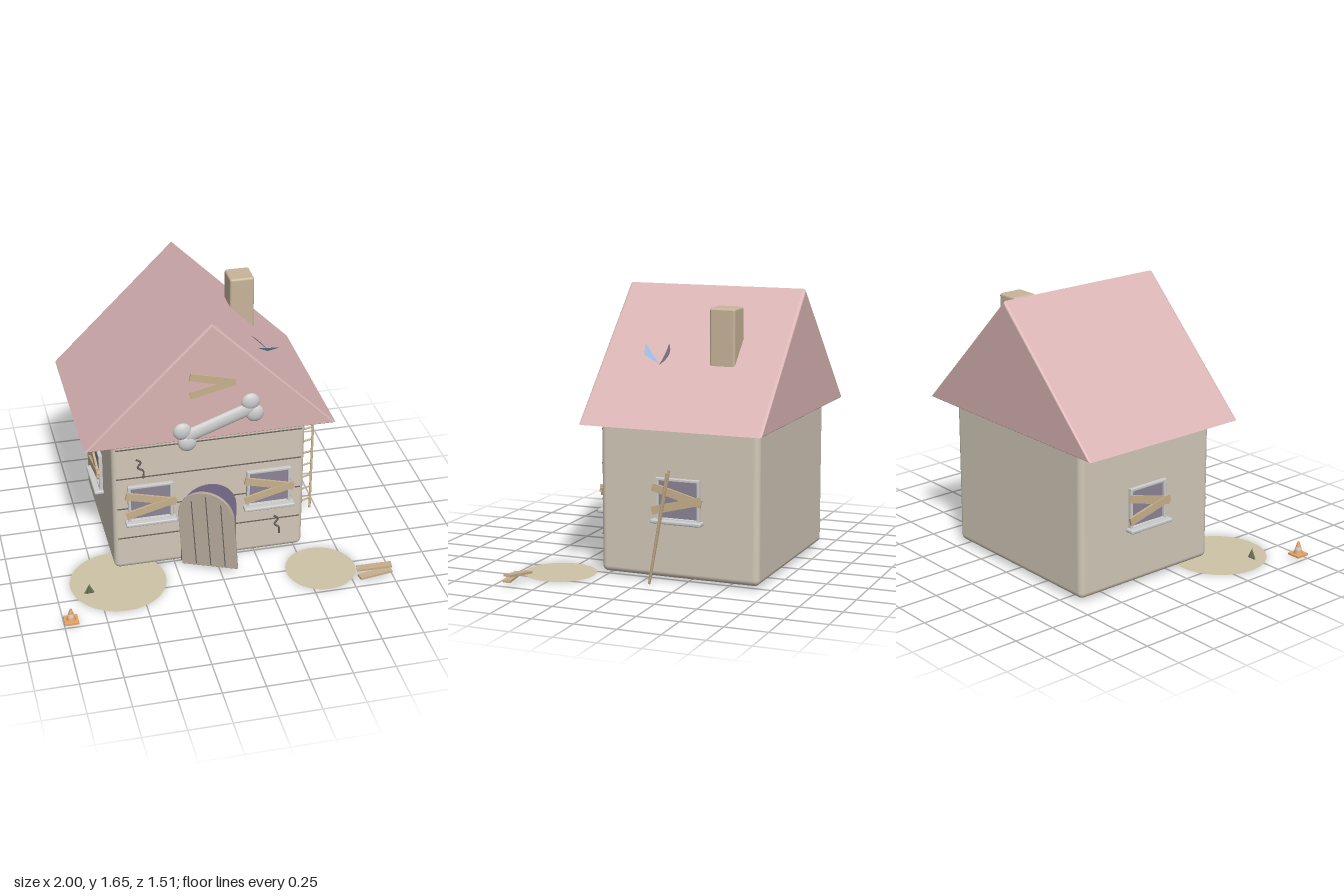
import * as THREE from 'three';
import { RoundedBoxGeometry } from 'three/addons/geometries/RoundedBoxGeometry.js';

const mat = (color, extra = {}) => new THREE.MeshStandardMaterial({ color, ...extra });
const WALL = mat(0xd2c8b8), ROOF = mat(0xdab4b4), WOOD = mat(0xc8b08c), GREY = mat(0xcccccc);
const GLASS = mat(0x8c8596), DARK = mat(0x6a645f), DOORWAY = mat(0x776c8a), DOOR = mat(0xb8aa9c);
const CHIMNEY = mat(0xc8b49a), ORANGE = mat(0xe8a468), SAND = mat(0xcdc3a6, { side: THREE.DoubleSide });
const BLUE = mat(0x9cc0e8, { side: THREE.DoubleSide }), HOLE = mat(0x6e6470, { side: THREE.DoubleSide });
const GRASS = mat(0x76805f, { side: THREE.DoubleSide });
const CX = -0.037; // centre line of the house

function add(parent, name, geo, material, x = 0, y = 0, z = 0) {
  const m = new THREE.Mesh(geo, material);
  m.name = name;
  m.position.set(x, y, z);
  parent.add(m);
  return m;
}

function group(parent, name, x = 0, y = 0, z = 0) {
  const g = new THREE.Group();
  g.name = name;
  g.position.set(x, y, z);
  parent.add(g);
  return g;
}

// box laid from a to b in a plane facing +z
function plank(parent, name, x1, y1, x2, y2, w, d, z, material = WOOD) {
  const len = Math.hypot(x2 - x1, y2 - y1);
  const m = add(parent, name, new THREE.BoxGeometry(len, w, d), material, (x1 + x2) / 2, (y1 + y2) / 2, z);
  m.rotation.z = Math.atan2(y2 - y1, x2 - x1);
  return m;
}

// round bar between two points
function bar(parent, name, a, b, r, material) {
  const d = b.clone().sub(a);
  const m = add(parent, name, new THREE.CylinderGeometry(r, r, d.length(), 8), material);
  m.position.copy(a).addScaledVector(d, 0.5);
  m.quaternion.setFromUnitVectors(new THREE.Vector3(0, 1, 0), d.normalize());
  return m;
}

function rectShape(w, h, Type = THREE.Shape) {
  return new Type([[-w, -h], [w, -h], [w, h], [-w, h]].map(([x, y]) => new THREE.Vector2(x / 2, y / 2)));
}

// arch standing on y = 0, starting at x = 0
function archShape(w, h) {
  const s = new THREE.Shape(), r = w / 2;
  s.moveTo(0, 0).lineTo(w, 0).lineTo(w, h - r);
  s.absarc(r, h - r, r, 0, Math.PI, false);
  s.lineTo(0, 0);
  return s;
}

// boarded window, facing +z before turning
function boardedWindow(parent, x, z, turn) {
  const g = group(parent, 'window', x, 0.485, z);
  g.rotation.y = turn;
  const frame = rectShape(0.27, 0.25);
  frame.holes.push(rectShape(0.235, 0.215, THREE.Path));
  add(g, 'windowFrame', new THREE.ExtrudeGeometry(frame, {
    depth: 0.018, bevelThickness: 0.004, bevelSize: 0.004, bevelOffset: -0.004, bevelSegments: 2,
  }), GREY);
  add(g, 'windowPane', new THREE.BoxGeometry(0.24, 0.22, 0.01), GLASS);
  add(g, 'windowSill', new RoundedBoxGeometry(0.31, 0.023, 0.06, 2, 0.008), GREY, 0, -0.125, 0.027);
  plank(g, 'windowPlank', -0.15, 0.072, 0.15, -0.008, 0.046, 0.014, 0.028);
  plank(g, 'windowPlank', -0.15, -0.066, 0.15, 0.012, 0.046, 0.014, 0.033);
}

function crack(parent, pts) {
  const curve = new THREE.CatmullRomCurve3(pts.map(([x, y]) => new THREE.Vector3(x, y, 0.284)));
  add(parent, 'wallCrack', new THREE.TubeGeometry(curve, 24, 0.006, 6), DARK);
}

function buildHouse(root) {
  const g = group(root, 'house');
  add(g, 'walls', new RoundedBoxGeometry(1.165, 0.94, 0.97, 4, 0.035), WALL, CX, 0.49, -0.205);
  for (const y of [0.86, 0.66, 0.45, 0.24])
    add(g, 'sidingSeam', new THREE.BoxGeometry(1.12, 0.008, 0.01), DARK, CX, y, 0.2765);

  // gabled roof
  const gable = new THREE.Shape();
  gable.moveTo(CX - 0.748, 0.91).lineTo(CX + 0.748, 0.91).lineTo(CX, 1.655).closePath();
  add(g, 'roof', new THREE.ExtrudeGeometry(gable, {
    depth: 1.07, bevelThickness: 0.015, bevelSize: 0.012, bevelOffset: -0.012, bevelSegments: 3,
  }), ROOF, 0, 0, -0.745);
  add(g, 'chimney', new RoundedBoxGeometry(0.15, 0.45, 0.153, 3, 0.014), CHIMNEY, 0.305, 1.345, -0.403);

  // gable planks
  plank(g, 'gablePlank', -0.168, 1.335, 0.098, 1.268, 0.046, 0.014, 0.343);
  plank(g, 'gablePlank', -0.168, 1.212, 0.098, 1.275, 0.046, 0.014, 0.342);

  // windows
  for (const s of [-1, 1]) {
    boardedWindow(g, CX + s * 0.36, 0.28, 0);
    boardedWindow(g, CX + s * 0.5825, -0.205, s * Math.PI / 2);
  }

  crack(g, [[-0.48, 0.79], [-0.45, 0.765], [-0.468, 0.73], [-0.435, 0.705], [-0.436, 0.655]]);
  crack(g, [[0.36, 0.265], [0.388, 0.24], [0.368, 0.2], [0.395, 0.175], [0.398, 0.13]]);
}

function buildDoor(root) {
  add(root, 'doorway', new THREE.ExtrudeGeometry(archShape(0.34, 0.525), { depth: 0.01, bevelEnabled: false, curveSegments: 24 }),
    DOORWAY, -0.213, 0.025, 0.276);
  // leaf hanging open and askew on its hinge
  const g = group(root, 'door', -0.203, 0.015, 0.29);
  g.rotation.set(0, -0.5, 0.07, 'YZX');
  add(g, 'doorLeaf', new THREE.ExtrudeGeometry(archShape(0.345, 0.525), {
    depth: 0.014, bevelThickness: 0.003, bevelSize: 0.003, bevelOffset: -0.003, bevelSegments: 2, curveSegments: 24,
  }), DOOR);
  for (const [x, h] of [[0.09, 0.47], [0.18, 0.51], [0.27, 0.46]])
    add(g, 'doorSeam', new THREE.BoxGeometry(0.006, h - 0.02, 0.004), DARK, x, h / 2, 0.0165);
}

function buildBone(root) {
  const g = group(root, 'bone', 0, 0, 0.338);
  g.scale.z = 0.55;
  bar(g, 'boneShaft', new THREE.Vector3(-0.19, 0.94, 0), new THREE.Vector3(0.2, 1.085, 0), 0.043, GREY).geometry =
    new THREE.CylinderGeometry(0.043, 0.043, 0.416, 24);
  for (const [x, y] of [[-0.213, 0.978], [-0.183, 0.898], [0.19, 1.125], [0.217, 1.045]])
    add(g, 'boneKnob', new THREE.SphereGeometry(0.055, 24, 16), GREY, x, y, 0);
}

// torn hole in the roof with a lifted shard beside it
function buildRoofDamage(root) {
  const shard = new THREE.BufferGeometry().setFromPoints([
    new THREE.Vector3(0.285, 1.34, 0.11), new THREE.Vector3(0.435, 1.29, 0.05), new THREE.Vector3(0.385, 1.235, -0.02)]);
  shard.computeVertexNormals();
  add(root, 'roofShard', shard, BLUE);
  const s = new THREE.Shape();
  s.moveTo(-0.08, 0).quadraticCurveTo(0, 0.055, 0.08, -0.018).quadraticCurveTo(0, 0.004, -0.08, 0);
  const hole = add(root, 'roofHole', new THREE.ShapeGeometry(s), HOLE, 0.342, 1.285, -0.04);
  // lay the crescent on the right-hand slope
  hole.matrixAutoUpdate = true;
  hole.quaternion.setFromRotationMatrix(new THREE.Matrix4().makeBasis(
    new THREE.Vector3(0.708, -0.706, 0), new THREE.Vector3(0, 0, -1), new THREE.Vector3(0.706, 0.708, 0)));
}

function buildLadder(root) {
  const g = group(root, 'ladder');
  const a0 = new THREE.Vector3(0.635, 0.022, -0.065), a1 = new THREE.Vector3(0.672, 0.683, -0.2);
  const b0 = new THREE.Vector3(0.702, 0.022, -0.09), b1 = new THREE.Vector3(0.745, 0.683, -0.218);
  bar(g, 'ladderRail', a0, a1, 0.008, WOOD);
  bar(g, 'ladderRail', b0, b1, 0.008, WOOD);
  for (let i = 0; i < 8; i++) {
    const t = 0.1 + i * 0.118;
    bar(g, 'ladderRung', a0.clone().lerp(a1, t), b0.clone().lerp(b1, t), 0.006, WOOD);
  }
}

function buildYard(root) {
  // bare ground patches
  for (const [x, z, r] of [[-0.62, 0.375, 0.29], [0.595, 0.52, 0.212]])
    add(root, 'groundPatch', new THREE.CircleGeometry(r, 48), SAND, x, 0, z).rotation.x = -Math.PI / 2;

  // traffic cone
  const cone = group(root, 'trafficCone', -0.958, 0.02, 0.712);
  add(cone, 'coneBase', new THREE.BoxGeometry(0.084, 0.012, 0.084), ORANGE, 0, 0.006, 0);
  const r = y => 0.032 - y * 0.3;
  for (const [y0, y1, m] of [[0.012, 0.035, ORANGE], [0.035, 0.055, GREY], [0.055, 0.085, ORANGE]])
    add(cone, 'coneBand', new THREE.CylinderGeometry(r(y1), r(y0), y1 - y0, 20), m, 0, (y0 + y1) / 2, 0);

  // grass tuft
  const tuft = group(root, 'grassTuft', -0.81, 0.015, 0.47);
  for (const [x, h, lean] of [[-0.012, 0.06, 0.3], [0, 0.075, 0], [0.012, 0.06, -0.3]]) {
    const blade = add(tuft, 'grassBlade', new THREE.ConeGeometry(0.011, h, 4), GRASS, x, h / 2, 0);
    blade.scale.z = 0.5;
    blade.rotation.z = -lean;
  }

  // loose planks
  const pile = group(root, 'loosePlanks');
  const p1 = add(pile, 'loosePlank', new THREE.BoxGeometry(0.21, 0.014, 0.046), WOOD, 0.89, 0.03, 0.682);
  p1.rotation.y = 0.15;
  const p2 = add(pile, 'loosePlank', new THREE.BoxGeometry(0.21, 0.014, 0.046), WOOD, 0.893, 0.053, 0.645);
  p2.rotation.set(0, -0.17, 0.12);
}

export function createModel() {
  const root = new THREE.Group();
  root.name = 'abandonedHouse';
  buildHouse(root);
  buildDoor(root);
  buildBone(root);
  buildRoofDamage(root);
  buildLadder(root);
  buildYard(root);
  return root;
}
